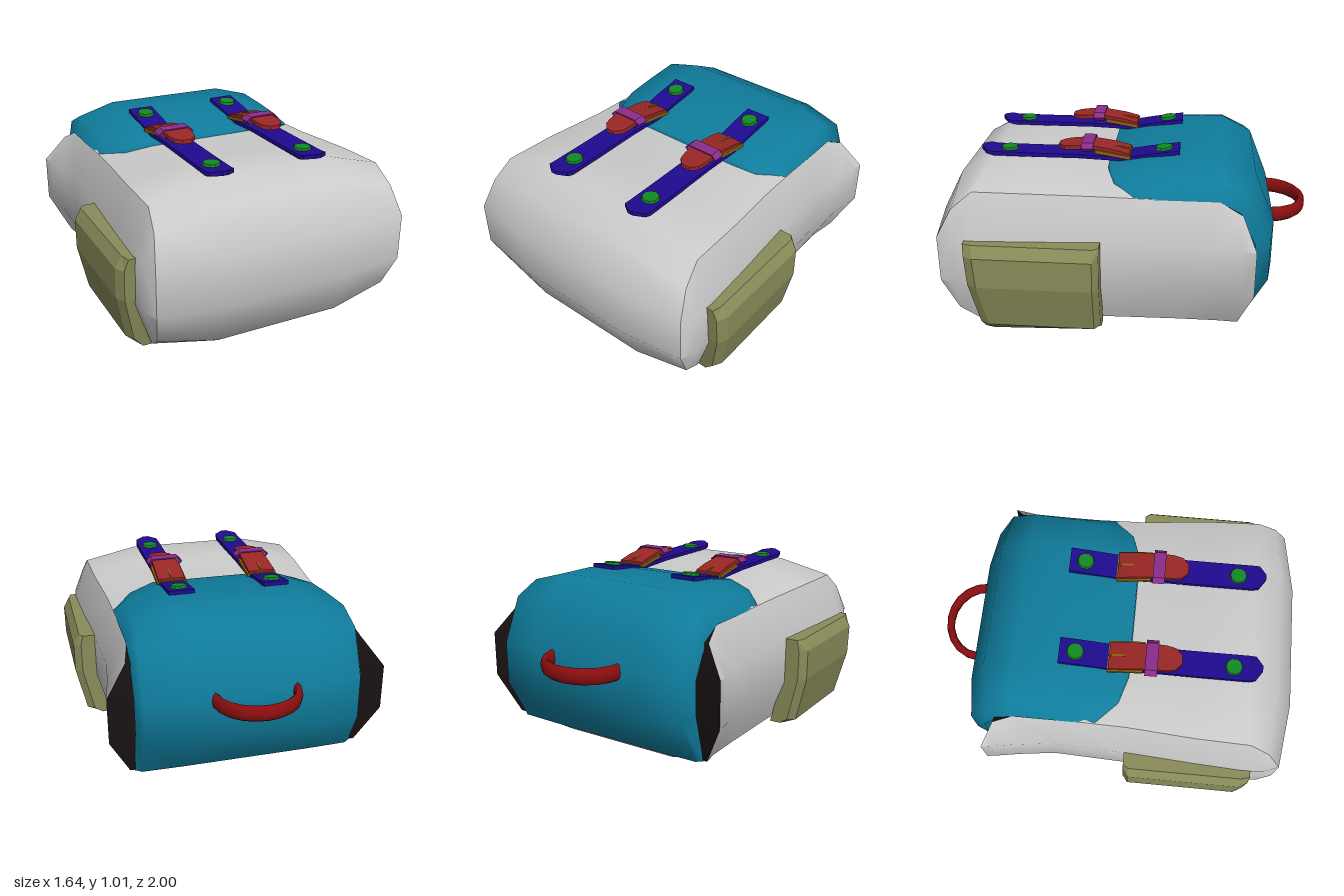
import * as THREE from 'three';

const mat = (color, opts = {}) => new THREE.MeshStandardMaterial({ color, side: THREE.DoubleSide, ...opts });
const cloth = mat(0xcccccc);
const teal = mat(0x0f7c9c);
const olive = mat(0x8a8c5a, { flatShading: true });
const blue = mat(0x1f0a90, { flatShading: true });
const green = mat(0x128a24, { flatShading: true });
const red = mat(0x9a2626, { flatShading: true });
const darkRed = mat(0x8e0e10);
const brass = mat(0x96620f, { flatShading: true });
const purple = mat(0x8a2c8a, { flatShading: true });
const dark = mat(0x1a1212);

function add(parent, name, geometry, material) {
  const mesh = new THREE.Mesh(geometry, material);
  mesh.name = name;
  parent.add(mesh);
  return mesh;
}

// Surface through rows of points; it faces along (row direction) x (column direction)
function grid(rows) {
  const n = rows[0].length, index = [];
  for (let i = 0; i < rows.length - 1; i++)
    for (let j = 0; j < n - 1; j++) {
      const a = i * n + j, b = a + 1, d = a + n, c = d + 1;
      index.push(a, d, c, a, c, b);
    }
  const g = new THREE.BufferGeometry();
  g.setAttribute('position', new THREE.Float32BufferAttribute(rows.flat(2), 3));
  g.setIndex(index);
  g.computeVertexNormals();
  return g;
}

// Strip of leather following stations [z, y, halfWidth]
function ribbon(thickness, stations) {
  const n = stations.length - 1;
  const g = new THREE.BoxGeometry(2, thickness, n, 1, 1, n);
  const p = g.attributes.position;
  for (let i = 0; i < p.count; i++) {
    const [z, y, w] = stations[Math.round(p.getZ(i) + n / 2)];
    p.setXYZ(i, p.getX(i) * w, p.getY(i) + y, z);
  }
  return g;
}

// Flat frame: outline and the same outline with a hole scaled by sx, sy
function frame(points, sx, sy, depth) {
  const shape = new THREE.Shape(points.map(([x, y]) => new THREE.Vector2(x, y)));
  shape.holes.push(new THREE.Path(points.map(([x, y]) => new THREE.Vector2(x * sx, y * sy)).reverse()));
  return new THREE.ExtrudeGeometry(shape, { depth, bevelEnabled: false }).translate(0, 0, -depth / 2);
}

function makeBody(root) {
  // Band round top, end and underside: [centre z, y, edge x, y, z]
  const band = [
    [-0.52, 0.875, 0.6, 0.81, -0.5], [-0.3, 0.875, 0.6, 0.81, -0.3], [0.1, 0.875, 0.61, 0.82, 0.1],
    [0.47, 0.905, 0.64, 0.835, 0.47], [0.73, 0.915, 0.65, 0.84, 0.76], [0.89, 0.83, 0.67, 0.75, 0.87],
    [1, 0.62, 0.7, 0.6, 0.95], [1, 0.35, 0.7, 0.35, 0.95], [0.89, 0.1, 0.67, 0.17, 0.87],
    [0.73, 0, 0.65, 0.09, 0.76], [0.47, 0, 0.64, 0.09, 0.47], [0.1, 0.035, 0.61, 0.115, 0.1],
    [-0.3, 0.035, 0.6, 0.115, -0.3], [-0.5, 0.035, 0.6, 0.115, -0.5], [-0.62, 0.12, 0.63, 0.13, -0.62],
  ];
  add(root, 'body', grid(band.map(([z, y, ex, ey, ez]) =>
    [[-ex, ey, ez], [-0.35, y, z], [0.35, y, z], [ex, ey, ez]])), cloth);

  // Side panels: [z, edge x, edge bottom, edge top, bulge x]
  const side = [
    [0.95, 0.7, 0.35, 0.6, 0.7], [0.87, 0.67, 0.17, 0.75, 0.73], [0.76, 0.65, 0.09, 0.84, 0.74],
    [0.47, 0.64, 0.09, 0.835, 0.725], [0.1, 0.61, 0.115, 0.82, 0.7], [-0.3, 0.6, 0.115, 0.81, 0.685],
    [-0.5, 0.6, 0.115, 0.81, 0.71], [-0.62, 0.63, 0.13, 0.75, 0.73], [-0.69, 0.74, 0.35, 0.6, 0.74],
  ];
  const panel = grid(side.map(([z, ex, y0, y1, mx]) =>
    [[ex, y0, z], [mx, 0.35, z], [mx, 0.6, z], [ex, y1, z]]));

  // Dark mouth beside the lid: outer rim and inner line
  const mouth = grid([
    [[0.6, 0.81, -0.5], [0.5, 0.8, -0.5]], [[0.63, 0.75, -0.62], [0.5, 0.74, -0.58]],
    [[0.74, 0.6, -0.69], [0.5, 0.58, -0.61]], [[0.74, 0.35, -0.69], [0.5, 0.38, -0.61]],
    [[0.63, 0.13, -0.62], [0.5, 0.13, -0.6]],
  ]);
  return { panel, mouth };
}

// Side pocket lofted upward: [y, outer x, inner x, front z, chamfer]
function pocketGeometry() {
  const levels = [
    [0.07, 0.7, 0.62, 0.73, 0.02], [0.13, 0.765, 0.63, 0.74, 0.04], [0.38, 0.82, 0.68, 0.78, 0.04],
    [0.545, 0.82, 0.68, 0.79, 0.04], [0.605, 0.785, 0.68, 0.795, 0.02],
  ];
  const rows = levels.map(([y, xo, xi, z1, c], k) => {
    const back = k === 0 ? 0.1 : y; // underside rises slightly toward the pocket opening
    return [[xi, back, 0.1], [xo - c, back, 0.1], [xo, back, 0.13],
      [xo, y, z1 - 0.05], [xo - c * 0.7, y, z1], [xi, y, z1]].reverse();
  });
  const flat = (row) => row.map(([, y, z]) => [0.66, y, z]);
  return grid([flat(rows[0]), ...rows, flat(rows[rows.length - 1])]);
}

// Lid rows: centre z, y; shoulder x, z, y; edge z, y
function makeLid(root) {
  const rows = [
    [0.095, 0.865, 0.49, 0.05, 0.835, -0.07, 0.79], [0.09, 0.9, 0.49, 0.045, 0.865, -0.07, 0.815],
    [-0.1, 0.935, 0.54, -0.12, 0.885, -0.15, 0.81], [-0.3, 0.955, 0.55, -0.3, 0.895, -0.3, 0.81],
    [-0.52, 0.96, 0.56, -0.52, 0.9, -0.5, 0.81], [-0.69, 0.87, 0.57, -0.66, 0.83, -0.6, 0.75],
    [-0.8, 0.6, 0.57, -0.77, 0.59, -0.69, 0.58], [-0.8, 0.35, 0.57, -0.77, 0.36, -0.69, 0.4],
    [-0.64, 0.12, 0.57, -0.635, 0.12, -0.61, 0.12],
  ];
  add(root, 'lid', grid(rows.map(([z, y, mx, mz, my, ez, ey]) => {
    const half = [[0.605, ey, ez], [mx, my, mz], [0.35, y, z]];
    return [...half, ...half.map(([a, b, c]) => [-a, b, c]).reverse()];
  })), teal);
}

function makeStrap() {
  const g = new THREE.Group();
  g.name = 'strap';
  add(g, 'strapBand', ribbon(0.022, [
    [-0.285, 0.967, 0.07], [-0.12, 0.942, 0.07], [0, 0.92, 0.07], [0.25, 0.93, 0.07],
    [0.5, 0.93, 0.07], [0.72, 0.932, 0.07], [0.755, 0.94, 0.065], [0.79, 0.948, 0.015],
  ]), blue);
  add(g, 'tongue', ribbon(0.022, [
    [-0.02, 0.942, 0.075], [0.06, 0.962, 0.075], [0.2, 0.985, 0.07], [0.28, 0.978, 0.07],
    [0.33, 0.974, 0.06], [0.365, 0.972, 0.025],
  ]), red);
  // Metal buckle with prong
  const buckle = new THREE.Group();
  buckle.name = 'buckle';
  add(buckle, 'buckleFrame', frame(
    [[-0.085, -0.095], [0.085, -0.095], [0.085, 0.095], [-0.085, 0.095]], 0.86, 0.88, 0.018), brass);
  add(buckle, 'buckleProng', new THREE.BoxGeometry(0.01, 0.09, 0.012).translate(0, 0.045, 0.022), brass);
  buckle.position.set(0, 0.948, 0.07);
  buckle.rotation.x = -Math.PI / 2 - 0.17;
  g.add(buckle);
  // Keeper loop
  const loop = add(g, 'keeperLoop', frame(
    [[-0.1, 0], [-0.075, -0.024], [0.075, -0.024], [0.1, 0], [0.075, 0.024], [-0.075, 0.024]], 0.93, 0.75, 0.065), purple);
  loop.position.set(-0.005, 0.983, 0.205);
  // Studs
  for (const [y, z, tilt] of [[0.968, -0.2, 0.13], [0.944, 0.64, 0]]) {
    const stud = add(g, 'stud', new THREE.CylinderGeometry(0.043, 0.05, 0.022, 10), green);
    stud.position.set(0, y, z);
    stud.rotation.x = tilt;
  }
  return g;
}

export function createModel() {
  const root = new THREE.Group();
  root.name = 'backpack';
  const { panel, mouth } = makeBody(root);
  makeLid(root);
  const pocket = pocketGeometry();

  // Mirrored side parts
  for (const s of [1, -1]) {
    const half = new THREE.Group();
    half.name = s > 0 ? 'leftSide' : 'rightSide';
    add(half, 'sidePanel', panel, cloth);
    add(half, 'mouthLining', mouth, dark);
    add(half, 'sidePocket', pocket, olive);
    half.scale.x = s;
    root.add(half);

    const strap = makeStrap();
    strap.position.x = 0.263 * s;
    root.add(strap);
  }

  // Carry handle
  const arc = [];
  for (let i = 0; i <= 8; i++) {
    const a = Math.PI * i / 8;
    arc.push(new THREE.Vector3(0.215 * Math.cos(a), 0, -0.785 - 0.193 * Math.sin(a)));
  }
  const handle = add(root, 'carryHandle',
    new THREE.TubeGeometry(new THREE.CatmullRomCurve3(arc), 10, 0.022, 8), darkRed);
  handle.scale.y = 2;
  handle.position.y = 0.577;
  return root;
}
